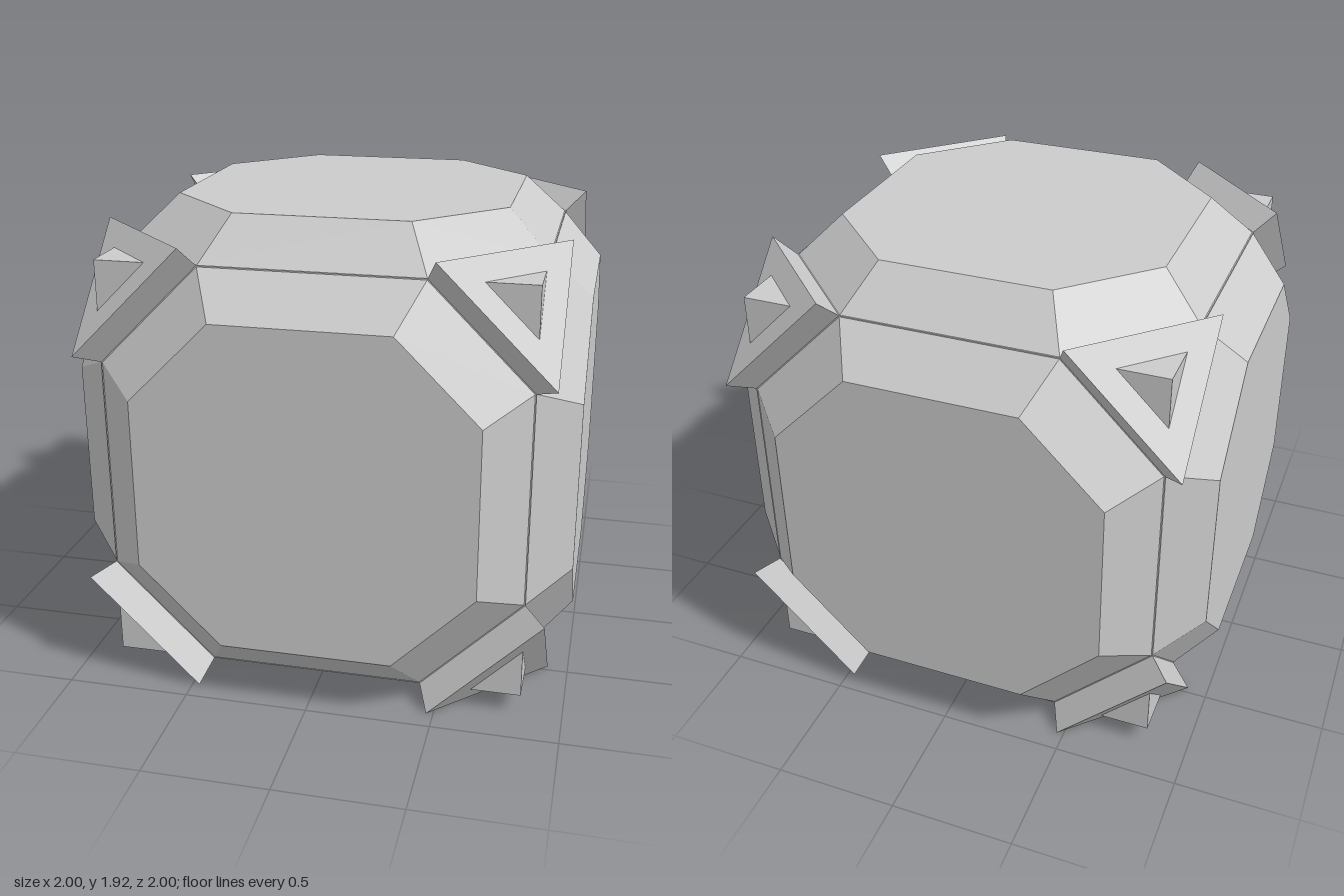
import * as THREE from 'three';
import { ConvexGeometry } from 'three/addons/geometries/ConvexGeometry.js';

const HALF = 0.835;      // half size of the core cube
const CENTRE_Y = 0.917;  // height of the cube's centre

const material = new THREE.MeshStandardMaterial({ color: 0xcccccc, flatShading: true });

// Octagon (a square with cut corners) at height z
function octagon(half, cut, z) {
  const points = [];
  for (const sx of [-1, 1]) for (const sy of [-1, 1]) {
    points.push(new THREE.Vector3(sx * half, sy * cut, z), new THREE.Vector3(sx * cut, sy * half, z));
  }
  return points;
}

// Triangle across the cube corner with the given signs
function cornerTriangle(a, b, sx, sy, sz) {
  return [[a, a, b], [a, b, a], [b, a, a]]
    .map(([x, y, z]) => new THREE.Vector3(sx * x, sy * y, sz * z));
}

export function createModel() {
  const group = new THREE.Group();
  const body = new THREE.Group();
  body.name = 'crate';
  body.position.y = CENTRE_Y;
  group.add(body);

  const add = (geometry, name) => {
    const mesh = new THREE.Mesh(geometry, material);
    mesh.name = name;
    body.add(mesh);
    return mesh;
  };

  // Core cube: its edges show as thin seams, its corners poke through the guards
  add(new THREE.BoxGeometry(2 * HALF, 2 * HALF, 2 * HALF), 'core');

  // Bevelled octagonal panels on every side but the bottom
  const panel = new ConvexGeometry([...octagon(0.83, 0.43, HALF), ...octagon(0.665, 0.342, 1)]);
  const sides = {
    frontPanel: [0, 0], leftPanel: [0, Math.PI / 2], backPanel: [0, Math.PI],
    rightPanel: [0, -Math.PI / 2], topPanel: [-Math.PI / 2, 0],
  };
  for (const [name, [rx, ry]] of Object.entries(sides)) add(panel, name).rotation.set(rx, ry, 0);

  // Flared triangular guards on all eight corners
  for (const sx of [-1, 1]) for (const sy of [-1, 1]) for (const sz of [-1, 1]) {
    const points = [
      ...cornerTriangle(HALF, 0.431, sx, sy, sz),
      ...cornerTriangle(0.917, 0.472, sx, sy, sz),
    ];
    const name = (sy > 0 ? 'top' : 'bottom') + (sz > 0 ? 'Front' : 'Back') + (sx > 0 ? 'Left' : 'Right');
    add(new ConvexGeometry(points), name + 'CornerGuard');
  }
  return group;
}
